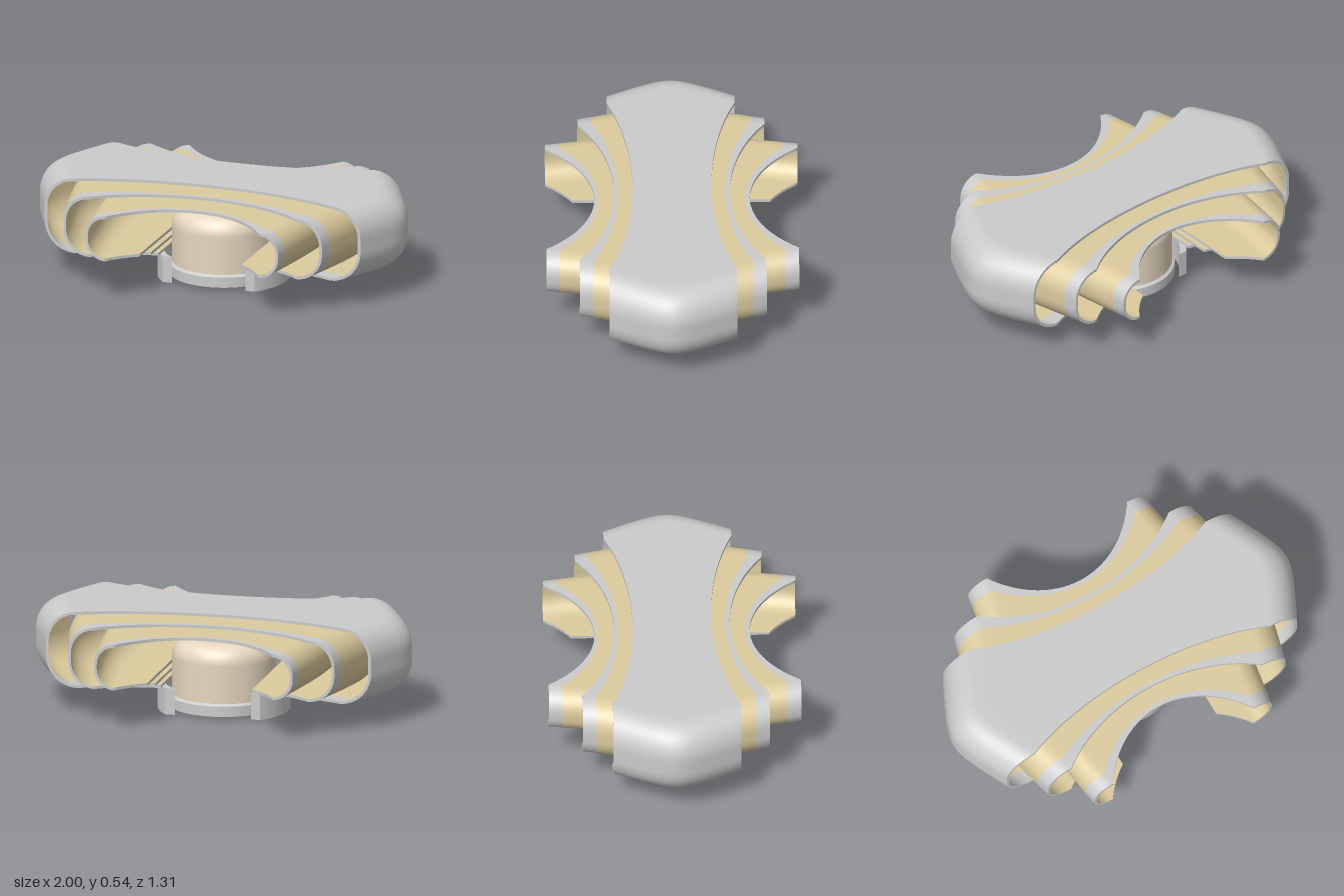
import * as THREE from 'three';

const GREY = 0xcccccc, TAN = 0xdccb9e, CREAM = 0xe6d7bf;
const WALL = 0.015, SLOT = 0.28, MID_Y = 0.34;

function mesh(name, geometry, color, side = THREE.DoubleSide) {
  const m = new THREE.Mesh(geometry, new THREE.MeshStandardMaterial({ color, side }));
  m.name = name;
  return m;
}

// Skin over rows of points
function skin(rows, flip = false) {
  const n = rows[0].length, pos = [], idx = [];
  rows.forEach(row => row.forEach(p => pos.push(...p)));
  for (let j = 0; j < rows.length - 1; j++) {
    for (let i = 0; i < n - 1; i++) {
      const a = j * n + i, b = a + 1, c = a + n, d = c + 1;
      if (flip) idx.push(a, c, b, b, c, d);
      else idx.push(a, b, c, b, d, c);
    }
  }
  const g = new THREE.BufferGeometry();
  g.setAttribute('position', new THREE.Float32BufferAttribute(pos, 3));
  g.setIndex(idx);
  g.computeVertexNormals();
  return g;
}

// Stations round a rounded section that is open below: s side, g inner start, t along flat, a corner angle, sy top/bottom
function stations() {
  const right = [], top = [], Q = Math.PI / 2;
  for (let i = 0; i < 10; i++) right.push({ s: 1, g: SLOT, t: i / 10, a: -Q, sy: -1 });
  for (let i = 0; i <= 10; i++) right.push({ s: 1, g: 0, t: 1, a: -Q + Q * i / 10, sy: -1 });
  for (let i = 0; i <= 10; i++) right.push({ s: 1, g: 0, t: 1, a: Q * i / 10, sy: 1 });
  for (let i = 1; i < 40; i++) top.push({ s: 1, g: 0, t: 1 - i / 20, a: Q, sy: 1 });
  const left = right.map(p => ({ ...p, s: -1 })).reverse();
  return [...right, ...top, ...left];
}

// One open-ended band: o.w width, o.h half height, o.r corner, o.z0/o.z1 end depth at centre/corner
function makeShell(name, o) {
  const group = new THREE.Group();
  group.name = name;
  const st = stations();
  const width = z => o.w - o.slope * (Math.hypot(o.soft, z) - o.soft);
  const flatEnd = width(o.z1) - o.r;
  const flatX = (p, flat) => p.s * (p.g + (flat - p.g) * p.t);
  const reach = p => (flatX(p, flatEnd) / flatEnd) ** 2;
  const end = p => o.z0 + (o.z1 - o.z0) * reach(p);
  const seam = p => end(p) - 0.02 - 0.05 * reach(p);
  const point = (p, z, inset) => [
    flatX(p, width(z) - o.r) + p.s * (o.r - inset) * Math.cos(p.a),
    MID_Y + p.sy * (o.h - o.r) + (o.r - inset) * Math.sin(p.a), z];
  const rows = (from, to, inset, n) => Array.from({ length: n + 1 }, (_, j) =>
    st.map(p => point(p, from(p) + (to(p) - from(p)) * j / n, inset)));
  const neg = f => p => -f(p);

  // Outside and inside skins, each with a middle zone and two end borders
  for (const [label, inset, color] of [['outer', 0, o.outside], ['inner', WALL, TAN]]) {
    const flip = inset > 0;
    const border = flip && o.tanInside ? TAN : GREY;
    group.add(
      mesh(label + 'Skin', skin(rows(neg(seam), seam, inset, 24), flip), color, THREE.FrontSide),
      mesh(label + 'FrontBorder', skin(rows(seam, end, inset, 3), flip), border, THREE.FrontSide),
      mesh(label + 'BackBorder', skin(rows(neg(end), neg(seam), inset, 3), flip), border, THREE.FrontSide));
  }
  // Rims of the two mouths
  for (const [label, f] of [['frontRim', end], ['backRim', neg(end)]]) {
    group.add(mesh(label, skin([0, WALL].map(k => st.map(p => point(p, f(p), k)))), GREY));
  }
  // Edges of the slot below
  for (const p of [st[0], st[st.length - 1]]) {
    const edge = [0, WALL].map(k => Array.from({ length: 13 }, (_, j) => point(p, end(p) * (j / 6 - 1), k)));
    group.add(mesh('slotEdge', skin(edge), GREY));
  }
  return group;
}

const lathe = pts => new THREE.LatheGeometry(pts.map(p => new THREE.Vector2(...p)), 64);

export function createModel() {
  const model = new THREE.Group();

  // Three nested bands
  model.add(
    makeShell('outerShell', { w: 1, h: 0.203, r: 0.165, slope: 0.53, soft: 0.1, z0: 0.205, z1: 0.332, outside: GREY }),
    makeShell('middleShell', { w: 0.81, h: 0.164, r: 0.14, slope: 0.27, soft: 0.14, z0: 0.3, z1: 0.485, outside: TAN, tanInside: true }),
    makeShell('innerShell', { w: 0.61, h: 0.122, r: 0.11, slope: 0.18, soft: 0.27, z0: 0.403, z1: 0.655, outside: TAN, tanInside: true }));

  // Hollow dome with a rounded shoulder
  const arc = (r, cx, cy) => Array.from({ length: 11 }, (_, i) => {
    const a = Math.PI / 2 * i / 10;
    return [cx + r * Math.cos(a), cy + r * Math.sin(a)];
  });
  model.add(mesh('dome', lathe([[0.27, 0.03], ...arc(0.1, 0.17, 0.28), [0, 0.38]]), CREAM));
  model.add(mesh('domeLining', lathe([[0.255, 0.03], ...arc(0.085, 0.17, 0.28), [0, 0.365]]), CREAM));

  // Collar round the foot of the dome
  const collar = lathe([[0.25, 0.015], [0.285, 0.015], [0.285, 0.015], [0.285, 0.07], [0.285, 0.07],
    [0.27, 0.08], [0.27, 0.08], [0.25, 0.08], [0.25, 0.08], [0.25, 0.015]]);
  model.add(mesh('collar', collar, GREY));

  // Curved brackets under the outer band
  const shape = new THREE.Shape();
  const cut = 0.235, ro = 0.345, ri = 0.31;
  shape.absarc(0, 0, ro, -Math.asin(cut / ro), Math.asin(cut / ro), false);
  shape.absarc(0, 0, ri, Math.asin(cut / ri), -Math.asin(cut / ri), true);
  const bracket = new THREE.ExtrudeGeometry(shape, { depth: 0.14, bevelEnabled: false, curveSegments: 24 });
  bracket.rotateX(-Math.PI / 2);
  for (const [name, turn] of [['leftBracket', 0], ['rightBracket', Math.PI]]) {
    const b = mesh(name, bracket, GREY);
    b.rotation.y = turn;
    model.add(b);
  }
  return model;
}
